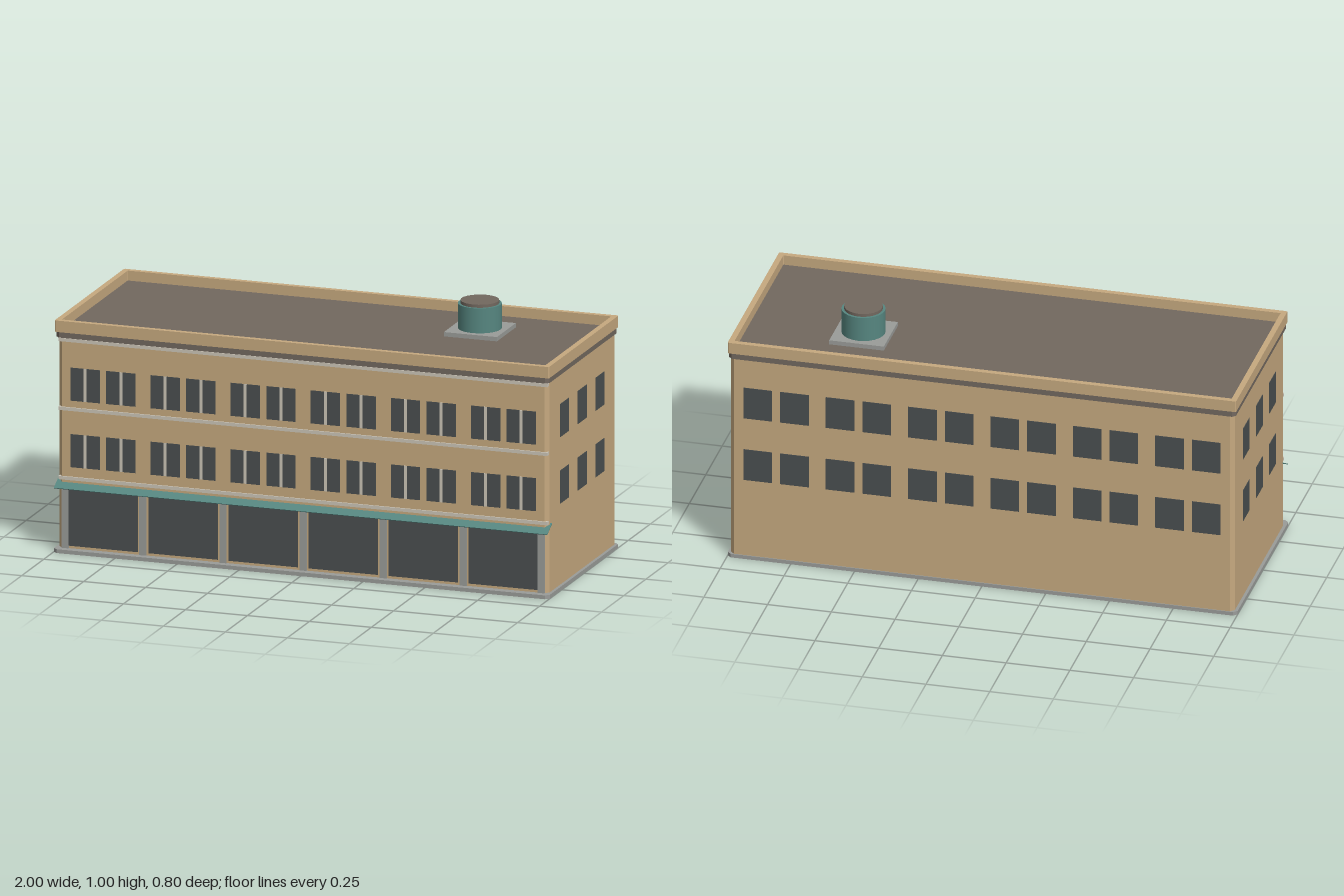
import * as THREE from 'three';

const mat = (name, color, side = THREE.FrontSide) => {
  const m = new THREE.MeshStandardMaterial({ color, side });
  m.name = name;
  return m;
};

export function createModel() {
  const tan = mat('tan wall', 0xc6a97f);
  const roofBrown = mat('roof brown', 0x72685f);
  const glass = mat('dark glass', 0x4a4f50);
  const pale = mat('pale trim', 0xcdc6b8);
  const grey = mat('concrete grey', 0x9a9c99);
  const teal = mat('teal metal', 0x568680, THREE.DoubleSide);

  const root = new THREE.Group();
  root.name = 'building';
  const add = (name, geo, material, x = 0, y = 0, z = 0, parent = root) => {
    const m = new THREE.Mesh(geo, material);
    m.name = name;
    m.position.set(x, y, z);
    parent.add(m);
    return m;
  };
  const box = (name, material, w, h, d, x, y, z, parent) =>
    add(name, new THREE.BoxGeometry(w, h, d), material, x, y, z, parent);

  // Plan outline with cut corners, from half width and z range
  const outline = (hx, zBack, zFront, c, Type = THREE.Shape) => {
    const a = -zFront, b = -zBack;
    return new Type([
      [-hx + c, a], [hx - c, a], [hx, a + c], [hx, b - c],
      [hx - c, b], [-hx + c, b], [-hx, b - c], [-hx, a + c],
    ].map(([x, y]) => new THREE.Vector2(x, y)));
  };
  const storey = (name, material, shape, y0, y1) => {
    const g = new THREE.ExtrudeGeometry(shape, { depth: y1 - y0, bevelEnabled: false });
    g.rotateX(-Math.PI / 2);
    return add(name, g, material, 0, y0, 0);
  };

  // Main masses
  storey('plinth', grey, outline(1, -0.4, 0.4, 0.015), 0, 0.015);
  storey('walls', tan, outline(0.988, -0.396, 0.369, 0.015), 0.015, 0.845);
  storey('corniceBand', roofBrown, outline(0.994, -0.399, 0.384, 0.013), 0.845, 0.87);
  const parapet = outline(0.997, -0.4, 0.387, 0.004);
  parapet.holes.push(outline(0.975, -0.378, 0.365, 0.002, THREE.Path));
  storey('parapet', tan, parapet, 0.867, 0.912);
  box('roof', roofBrown, 1.96, 0.01, 0.75, 0, 0.868, -0.0065);

  // Front ledges
  for (const y of [0.291, 0.564, 0.835])
    box('frontLedge', pale, 1.972, 0.013, 0.022, 0, y, 0.364);

  // Bays: shopfront glass, paired front windows, back windows
  const windowRows = [0.4, 0.662], windowH = 0.13, pitch = 0.323;
  const windows = new THREE.Group();
  windows.name = 'windows';
  root.add(windows);
  for (let bay = 0; bay < 6; bay++) {
    const x = (bay - 2.5) * pitch;
    box('shopWindow', glass, 0.28, 0.236, 0.003, x, 0.143, 0.3695, windows);
    for (const y of windowRows) for (const off of [-0.072, 0.072]) {
      for (const s of [-1, 1])
        box('frontPane', glass, 0.053, windowH, 0.003, x + off + s * 0.0325, y, 0.3695, windows);
      box('mullion', pale, 0.012, windowH, 0.004, x + off, y, 0.3695, windows);
      box('backWindow', glass, 0.112, windowH, 0.003, x + off, y, -0.3965, windows);
    }
  }

  // Side windows, both ends
  for (const s of [-1, 1]) for (const y of windowRows) for (const z of [0.188, -0.012, -0.212])
    box('sideWindow', glass, 0.003, windowH, 0.098, s * 0.9885, y, z, windows);

  // Shopfront piers between the bays
  for (let i = 0; i <= 6; i++) {
    const x = THREE.MathUtils.clamp((i - 3) * pitch, -0.96, 0.96);
    box('pier', grey, 0.028, 0.25, 0.008, x, 0.14, 0.37);
  }

  // Sloping awning over the shopfront
  const awning = box('awning', teal, 1.99, 0.003, 0.063, 0, 0.27, 0.373);
  awning.rotation.x = Math.atan2(0.03, 0.055);

  // Roof vent on its pad
  const vent = new THREE.Group();
  vent.name = 'roofVent';
  vent.position.set(0.532, 0, -0.135);
  root.add(vent);
  box('ventPad', grey, 0.214, 0.018, 0.214, 0, 0.881, 0, vent);
  add('ventDrum', new THREE.CylinderGeometry(0.084, 0.084, 0.1, 24), teal, 0, 0.938, 0, vent);
  add('ventCap', new THREE.CylinderGeometry(0.074, 0.074, 0.014, 24), roofBrown, 0, 0.993, 0, vent);

  return root;
}
